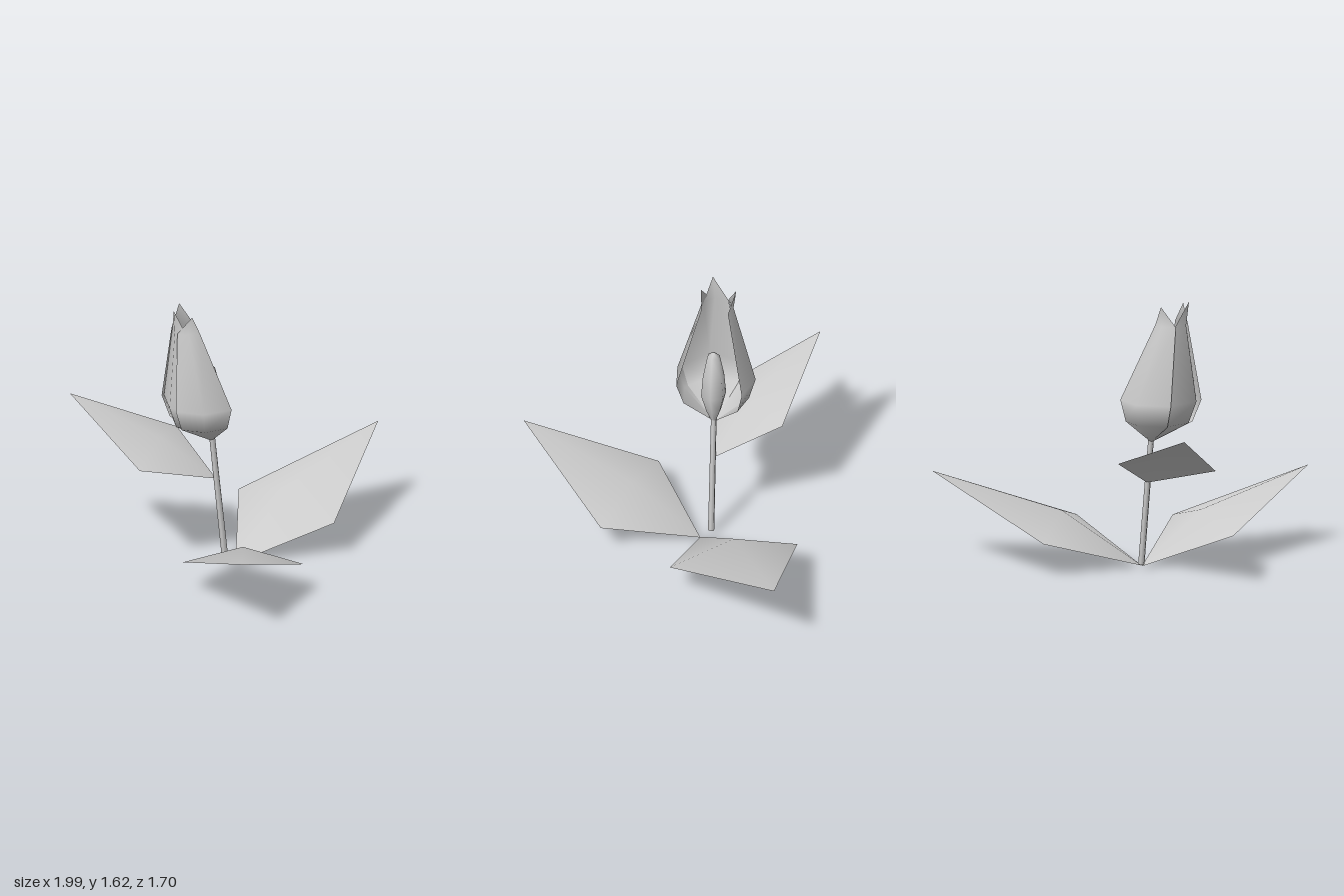
import * as THREE from 'three';

const material = new THREE.MeshStandardMaterial({ color: 0xcccccc, side: THREE.DoubleSide });

// Smooth surface from a small list of points and triangles
function surface(name, points, index) {
  const geo = new THREE.BufferGeometry();
  geo.setAttribute('position', new THREE.Float32BufferAttribute(points.flat(), 3));
  geo.setIndex(index);
  geo.computeVertexNormals();
  const mesh = new THREE.Mesh(geo, material);
  mesh.name = name;
  return mesh;
}

// Diamond leaf folded over a raised midrib: base, right corner, tip, left corner, rib
function leaf(name, base, right, tip, left, rib) {
  return surface(name, [base, right, tip, left, rib], [0, 1, 4, 1, 2, 4, 2, 3, 4, 3, 0, 4]);
}

// Cup levels shared by the petals: centre x, height, centre z, radius
const levels = [
  [-0.33, 0.77, -0.10, 0.012],
  [-0.38, 0.90, -0.12, 0.195],
  [-0.39, 1.03, -0.12, 0.236],
  [-0.465, 1.48, -0.155, 0.095],
];

// Petal wrapped around the cup between the given angles, closing to a pointed tip
function petal(name, angles, tip, scale) {
  const points = [], index = [], n = angles.length;
  for (const [cx, y, cz, r] of levels) {
    for (const deg of angles) {
      const a = THREE.MathUtils.degToRad(deg);
      points.push([cx + r * scale * Math.cos(a), y, cz + r * scale * Math.sin(a)]);
    }
  }
  points.push(tip);
  for (let j = 0; j < levels.length; j++) {
    for (let i = 0; i < n - 1; i++) {
      const a = j * n + i, b = a + 1;
      if (j === levels.length - 1) index.push(a, points.length - 1, b);
      else index.push(a, a + n, b, b, a + n, b + n);
    }
  }
  return surface(name, points, index);
}

// Place a mesh built along +y so that it runs from one point to another
function stretchBetween(mesh, from, to) {
  const dir = to.clone().sub(from).normalize();
  mesh.position.copy(from);
  mesh.quaternion.setFromUnitVectors(new THREE.Vector3(0, 1, 0), dir);
  return mesh;
}

export function createModel() {
  const group = new THREE.Group();
  group.name = 'tulip';

  // Leaves
  group.add(
    leaf('leftLeaf', [-0.24, 0.005, 0.01], [0.24, 0.21, 0.33], [0.99, 0.51, -0.08],
      [0.22, 0.20, -0.44], [0.22, 0.32, -0.06]),
    leaf('frontLeaf', [-0.24, 0, 0.01], [-0.76, 0.19, 0.11], [-1, 0.465, 0.85],
      [-0.26, 0.18, 0.60], [-0.5, 0.28, 0.34]),
    leaf('backLeaf', [-0.30, 0.52, -0.09], [-0.235, 0.71, -0.48], [-0.735, 0.95, -0.85],
      [-0.755, 0.65, -0.25], [-0.5, 0.76, -0.35]),
  );

  // Stem
  const foot = new THREE.Vector3(-0.257, 0.03, -0.06);
  const neck = new THREE.Vector3(-0.325, 0.78, -0.095);
  const length = foot.distanceTo(neck);
  const stemGeo = new THREE.CylinderGeometry(0.017, 0.019, length, 6).translate(0, length / 2, 0);
  const stem = stretchBetween(new THREE.Mesh(stemGeo, material), foot, neck);
  stem.name = 'stem';
  group.add(stem);

  // Inner bud
  const profile = [[0.012, 0], [0.045, 0.08], [0.075, 0.19], [0.064, 0.32], [0.037, 0.455], [0, 0.485]];
  const budGeo = new THREE.LatheGeometry(profile.map(([r, y]) => new THREE.Vector2(r, y)), 6);
  const bud = stretchBetween(new THREE.Mesh(budGeo, material),
    new THREE.Vector3(-0.325, 0.765, -0.095), new THREE.Vector3(-0.35, 1.25, -0.1));
  bud.name = 'bud';
  group.add(bud);

  // Petals
  group.add(
    petal('frontPetal', [86, 130, 172], [-0.51, 1.59, -0.07], 1),
    petal('sidePetal', [138, 188, 242], [-0.57, 1.62, -0.16], 0.95),
    petal('backPetal', [240, 291, 335], [-0.43, 1.60, -0.26], 1),
  );

  return group;
}
